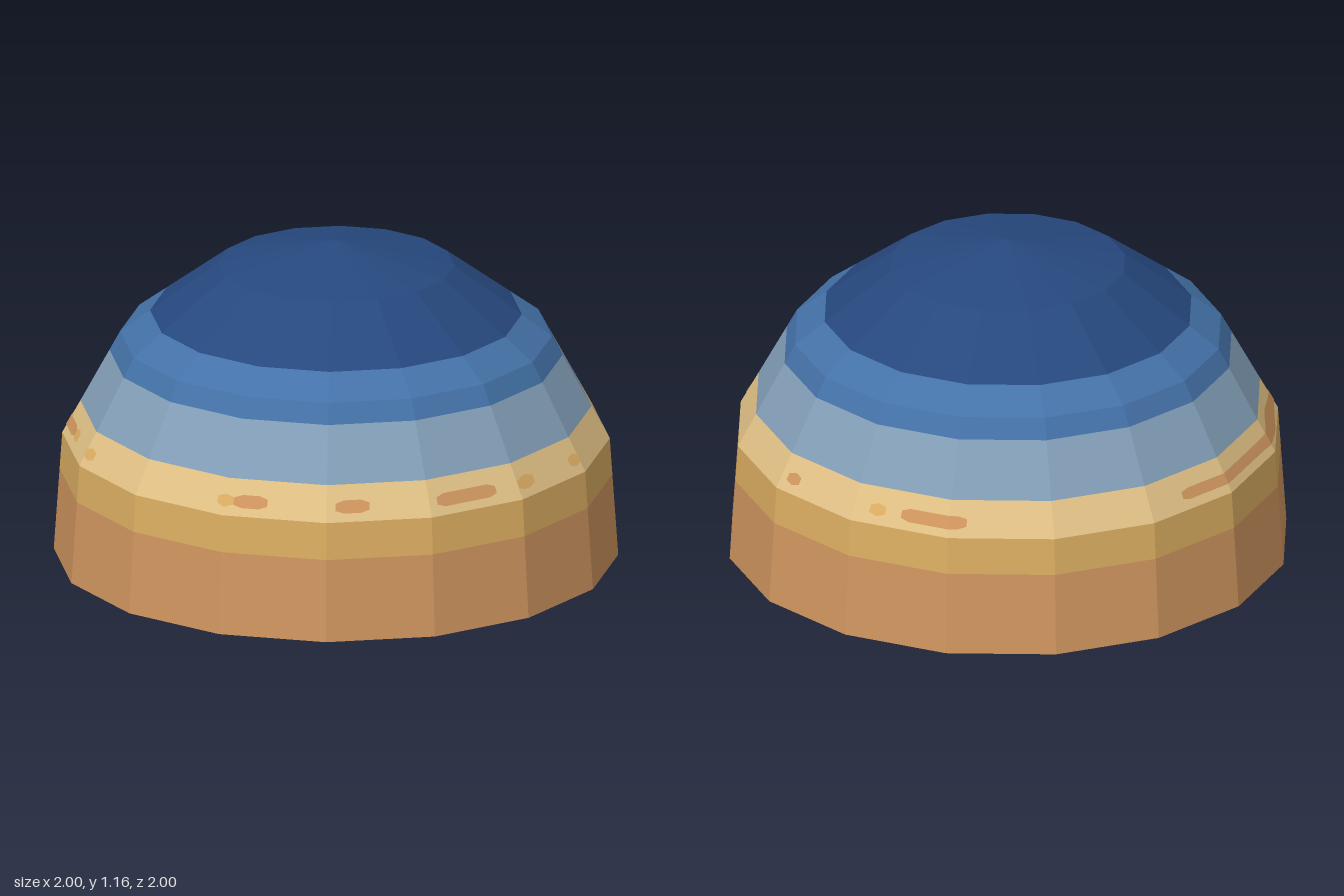
import * as THREE from 'three';

const SIDES = 16;
const STEP = 360 / SIDES;

// dome outline: [radius, height] from rim to apex
const OUTLINE = [[1, 0], [0.97, 0.435], [0.765, 0.815], [0.42, 1.075], [0, 1.165]];

function makeMaterial(name, color) {
  const m = new THREE.MeshStandardMaterial({ color, flatShading: true, side: THREE.DoubleSide });
  m.name = name;
  return m;
}

// outline radius at a height
function radiusAt(y) {
  for (let i = 1; i < OUTLINE.length; i++) {
    const [r0, y0] = OUTLINE[i - 1], [r1, y1] = OUTLINE[i];
    if (y <= y1) return r0 + (r1 - r0) * (y - y0) / (y1 - y0);
  }
  return 0;
}

// point on the faceted wall; angle in degrees from the front towards +x
function wallPoint(angle, y, offset) {
  const local = (((angle % STEP) + STEP) % STEP) - STEP / 2;
  const rad = THREE.MathUtils.degToRad;
  const r = radiusAt(y) * Math.cos(rad(STEP / 2)) / Math.cos(rad(local)) + offset;
  return [r * Math.sin(rad(angle)), y, r * Math.cos(rad(angle))];
}

// horizontal band of the shell, including any outline corners inside it
function band(y0, y1) {
  const pts = [[radiusAt(y0), y0], ...OUTLINE.filter(([, y]) => y > y0 && y < y1), [radiusAt(y1), y1]];
  return new THREE.LatheGeometry(pts.map(([r, y]) => new THREE.Vector2(r, y)), SIDES);
}

// thin painted streak following the facets, with tapered ends
function streak(from, to, halfHeight, offset) {
  const grid = STEP / 12;
  const first = Math.round(from / grid);
  const last = Math.max(first + 2, Math.round(to / grid));
  const positions = [], index = [];
  for (let k = first; k <= last; k++) {
    const angle = k * grid;
    const end = k === first || k === last;
    const h = halfHeight(angle) * (end ? 0.55 : 1);
    positions.push(...wallPoint(angle, 0.484 - h, offset), ...wallPoint(angle, 0.484 + h, offset));
    if (k > first) {
      const b = (k - first) * 2;
      index.push(b - 2, b, b - 1, b, b + 1, b - 1);
    }
  }
  const g = new THREE.BufferGeometry();
  g.setAttribute('position', new THREE.Float32BufferAttribute(positions, 3));
  g.setIndex(index);
  g.computeVertexNormals();
  return g;
}

export function createModel() {
  const group = new THREE.Group();
  group.name = 'bandedDome';

  const clay = makeMaterial('clay', 0xd0965f);
  const gold = makeMaterial('gold', 0xdcae62);
  const sand = makeMaterial('sand', 0xe2c286);
  const haze = makeMaterial('hazeBlue', 0x839fb8);
  const blue = makeMaterial('midBlue', 0x4472a8);
  const navy = makeMaterial('navy', 0x26487e);

  function add(name, geometry, material) {
    const mesh = new THREE.Mesh(geometry, material);
    mesh.name = name;
    group.add(mesh);
  }

  // colour bands from the open rim to the apex
  const bands = [
    ['rimBand', 0, 0.3, clay],
    ['goldBand', 0.3, 0.435, gold],
    ['sandBand', 0.435, 0.555, sand],
    ['hazeBand', 0.555, 0.745, haze],
    ['blueBand', 0.745, 0.895, blue],
    ['crown', 0.895, 1.165, navy],
  ];
  for (const [name, y0, y1, material] of bands) add(name, band(y0, y1), material);

  // streaks on the sand band, painted on both sides of the shell
  const thin = () => 0.021;
  const swelling = (a) => 0.018 + 0.018 * Math.exp(-(((a + 58) / 7) ** 2));
  const streaks = [
    [-103, -36, swelling, clay], [24, 32, thin, clay], [47, 55, thin, clay],
    [70, 85, thin, clay], [160, 164, thin, clay], [191, 206, thin, clay],
    [-36, -33, thin, gold], [-23, -19, thin, gold], [20, 24, thin, gold],
    [90, 96, thin, gold], [109, 112, thin, gold], [183, 188, thin, gold],
  ];
  streaks.forEach(([from, to, height, material], i) => {
    add(`streakOutside${i + 1}`, streak(from, to, height, 0.003), material);
    add(`streakInside${i + 1}`, streak(from, to, height, -0.003), material);
  });

  return group;
}
